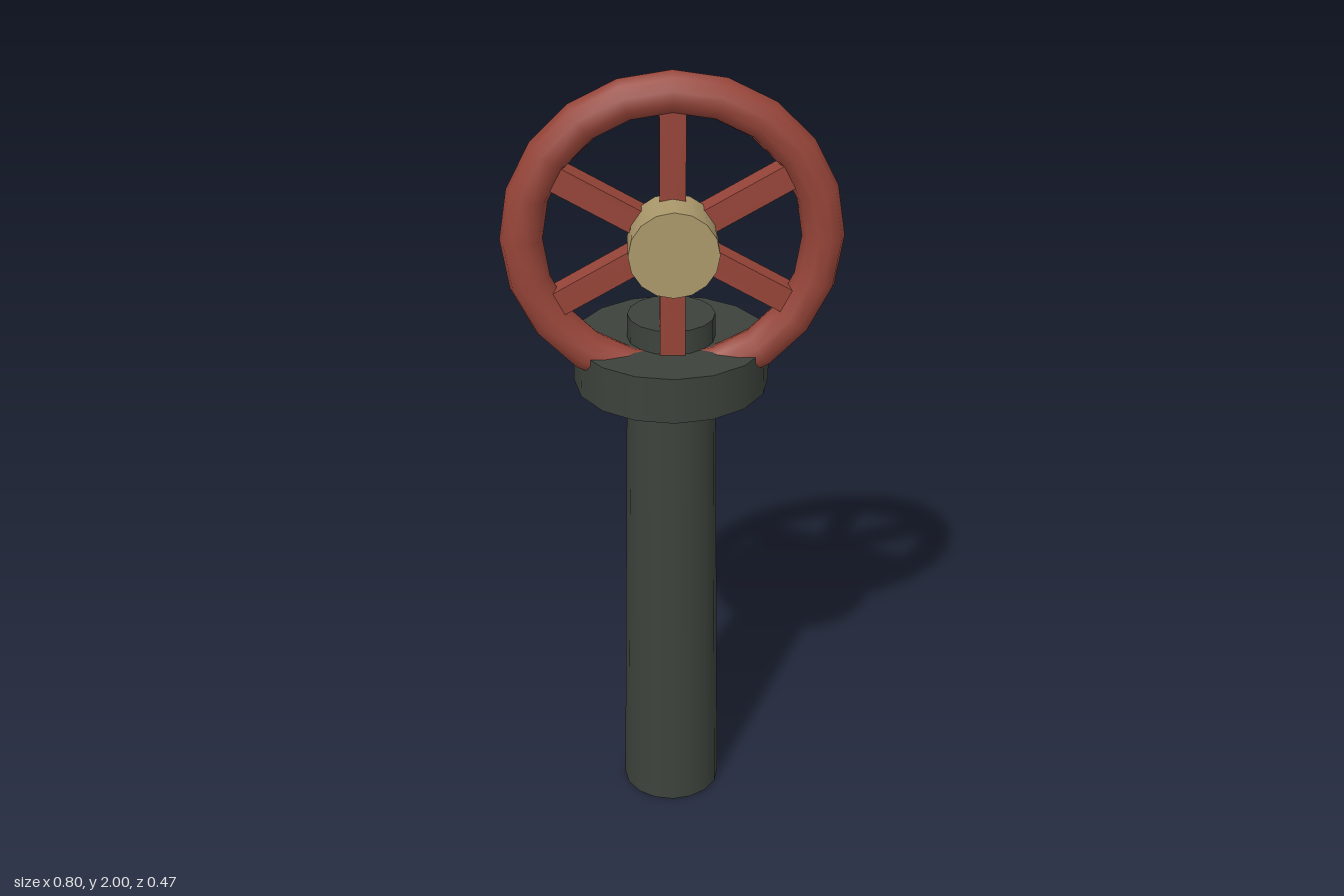
import * as THREE from 'three';

export function createModel() {
  const model = new THREE.Group();
  model.name = 'valveStand';

  const material = (name, color) => {
    const m = new THREE.MeshStandardMaterial({ color });
    m.name = name;
    return m;
  };
  const iron = material('dark iron', 0x3c423b);
  const red = material('red paint', 0x964438);
  const brass = material('brass', 0xab986b);

  const add = (parent, name, geometry, mat, x = 0, y = 0, z = 0) => {
    const mesh = new THREE.Mesh(geometry, mat);
    mesh.name = name;
    mesh.position.set(x, y, z);
    parent.add(mesh);
    return mesh;
  };

  // Tapered post, running through the flange to form the cap above it
  add(model, 'post', new THREE.CylinderGeometry(0.106, 0.125, 1.37, 16), iron, 0, 0.685, 0);
  add(model, 'flange', new THREE.CylinderGeometry(0.237, 0.237, 0.115, 16), iron, 0, 1.2525, 0);

  // Handwheel facing the front
  const wheel = new THREE.Group();
  wheel.name = 'handwheel';
  wheel.position.set(0, 1.6, 0.079);
  model.add(wheel);

  add(wheel, 'rim', new THREE.TorusGeometry(0.35, 0.05, 10, 20), red);

  // Three full-width bars make six spokes
  for (let i = 0; i < 3; i++) {
    const bar = add(wheel, 'spokeBar', new THREE.BoxGeometry(0.06, 0.66, 0.06), red);
    bar.rotation.z = (i * Math.PI) / 3;
  }

  // Hub standing proud of the spokes
  const hub = add(wheel, 'hub', new THREE.CylinderGeometry(0.105, 0.105, 0.12, 16), brass, 0, 0, 0.053);
  hub.rotation.x = Math.PI / 2;

  return model;
}
